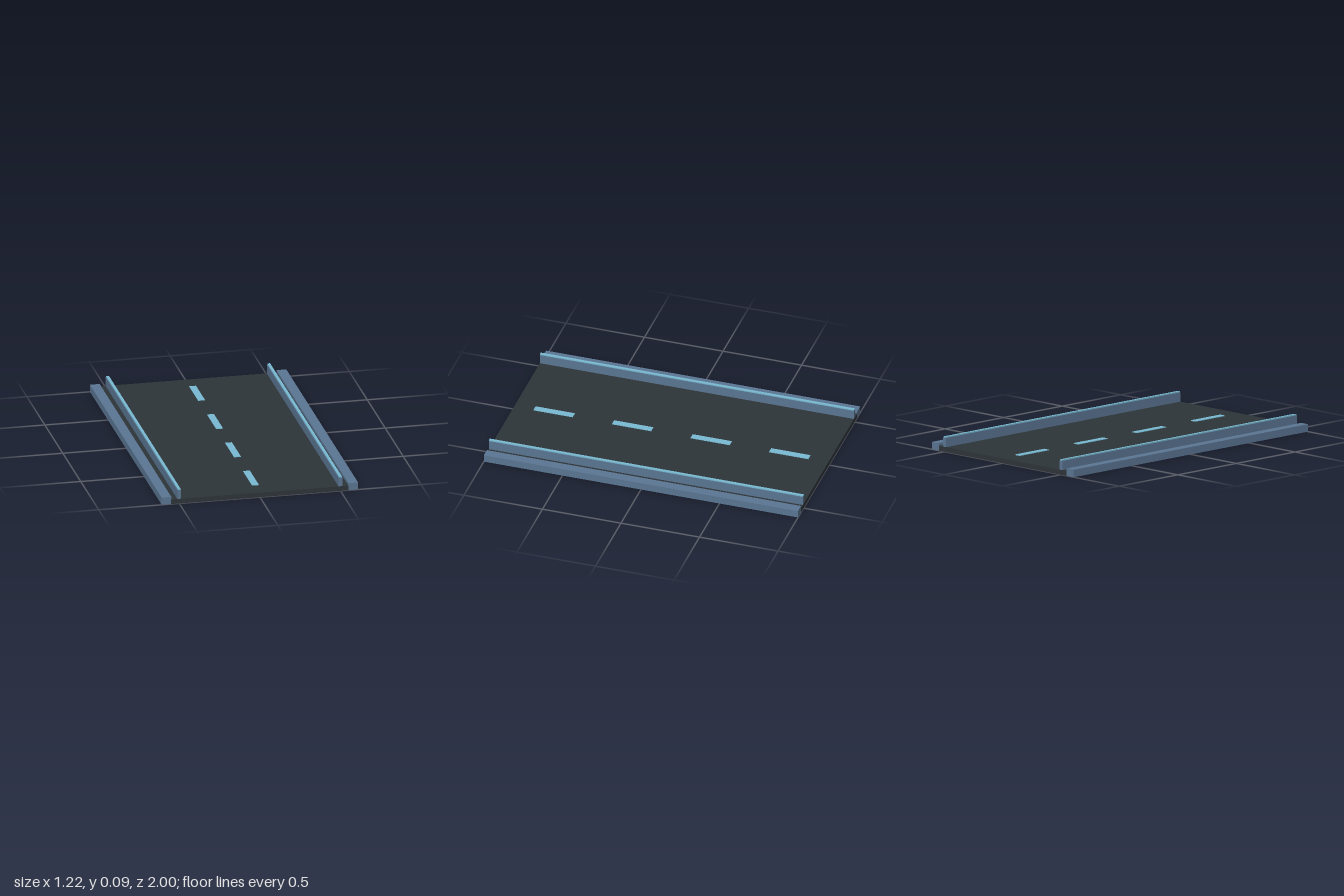
import * as THREE from 'three';

const asphalt = new THREE.MeshStandardMaterial({ color: 0x2d3439 });
asphalt.name = 'asphalt';
const steel = new THREE.MeshStandardMaterial({ color: 0x5a7592 });
steel.name = 'blueSteel';
const glow = new THREE.MeshStandardMaterial({ color: 0x78bad2 });
glow.name = 'paleCyan';

const LENGTH = 2;
const DECK_TOP = 0.03;

// Box given by its centre in x and z, and its bottom and top in y
function addBox(parent, name, material, width, bottom, top, length, x = 0, z = 0) {
  const mesh = new THREE.Mesh(new THREE.BoxGeometry(width, top - bottom, length), material);
  mesh.name = name;
  mesh.position.set(x, (bottom + top) / 2, z);
  parent.add(mesh);
}

export function createModel() {
  const road = new THREE.Group();
  road.name = 'roadSegment';

  addBox(road, 'roadDeck', asphalt, 1.1, 0, DECK_TOP, LENGTH);

  // Kerb, guard rail and light strip on each side
  for (const [side, s] of [['left', 1], ['right', -1]]) {
    addBox(road, side + 'Kerb', steel, 0.06, 0, 0.046, LENGTH, s * 0.579);
    addBox(road, side + 'GuardRail', steel, 0.024, DECK_TOP, 0.087, LENGTH, s * 0.5);
    addBox(road, side + 'LightStrip', glow, 0.017, 0.087, 0.094, LENGTH, s * 0.5);
  }

  // Dashed centre line
  for (let i = 0; i < 4; i++) {
    addBox(road, 'laneDash' + (i + 1), glow, 0.042, DECK_TOP, 0.034, 0.25, 0, -0.75 + i * 0.5);
  }

  return road;
}
